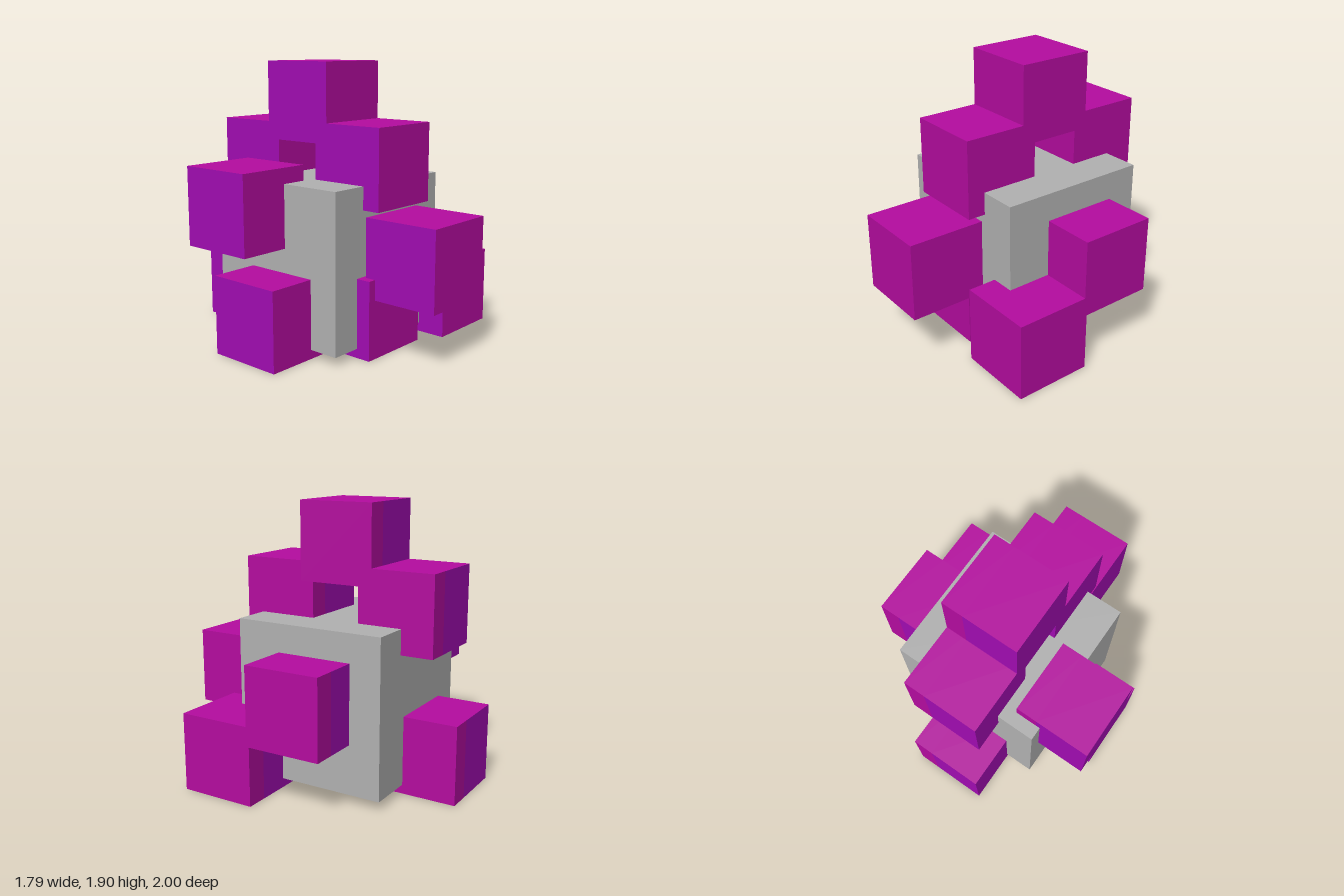
import * as THREE from 'three';

const SIZE = 0.534;

// Cube with a two-tone skin: the -x face and most of the back are violet, the rest magenta.
function twoToneCube() {
  const geo = new THREE.BoxGeometry(SIZE, SIZE, SIZE, 2, 1, 1);
  const pos = geo.attributes.position;
  for (let i = 0; i < pos.count; i++) {
    if (Math.abs(pos.getX(i)) < 1e-6) pos.setX(i, SIZE * 0.22); // colour seam
  }
  geo.clearGroups();
  geo.addGroup(0, 6, 0); // +x
  geo.addGroup(6, 6, 1); // -x
  geo.addGroup(12, 42, 0); // top, bottom, front and the back's +x strip
  geo.addGroup(54, 6, 1); // rest of the back
  return geo;
}

export function createModel() {
  const magenta = new THREE.MeshStandardMaterial({ color: 0xb50ca0 });
  magenta.name = 'magenta';
  const violet = new THREE.MeshStandardMaterial({ color: 0xa20cb3 });
  violet.name = 'violet';
  const grey = new THREE.MeshStandardMaterial({ color: 0xb2b2b2 });
  grey.name = 'grey';

  const model = new THREE.Group();
  model.name = 'cubeCluster';

  // Large central block
  const core = new THREE.Mesh(new THREE.BoxGeometry(1.066, 1.066, 1.066), grey);
  core.name = 'core';
  core.position.set(-0.008, 0.595, -0.092);
  model.add(core);

  // Small cubes embedded around the core
  const cubes = {
    topCube: [-0.008, 1.637, -0.14],
    upperFrontCube: [-0.008, 1.24, 0.298],
    upperBackCube: [-0.008, 1.225, -0.58],
    frontCube: [-0.008, 0.664, 0.733],
    lowerBackCube: [-0.065, 0.267, -0.733],
    lowerFrontCube: [-0.065, 0.267, 0.275],
    lowerLeftCube: [0.624, 0.267, 0.375],
    leftCube: [0.624, 0.668, -0.14],
    rightCube: [-0.628, 0.967, -0.267],
    lowerRightCube: [-0.612, 0.267, -0.038],
  };
  const geo = twoToneCube();
  for (const [name, at] of Object.entries(cubes)) {
    const cube = new THREE.Mesh(geo, [magenta, violet]);
    cube.name = name;
    cube.position.set(...at);
    model.add(cube);
  }
  return model;
}
